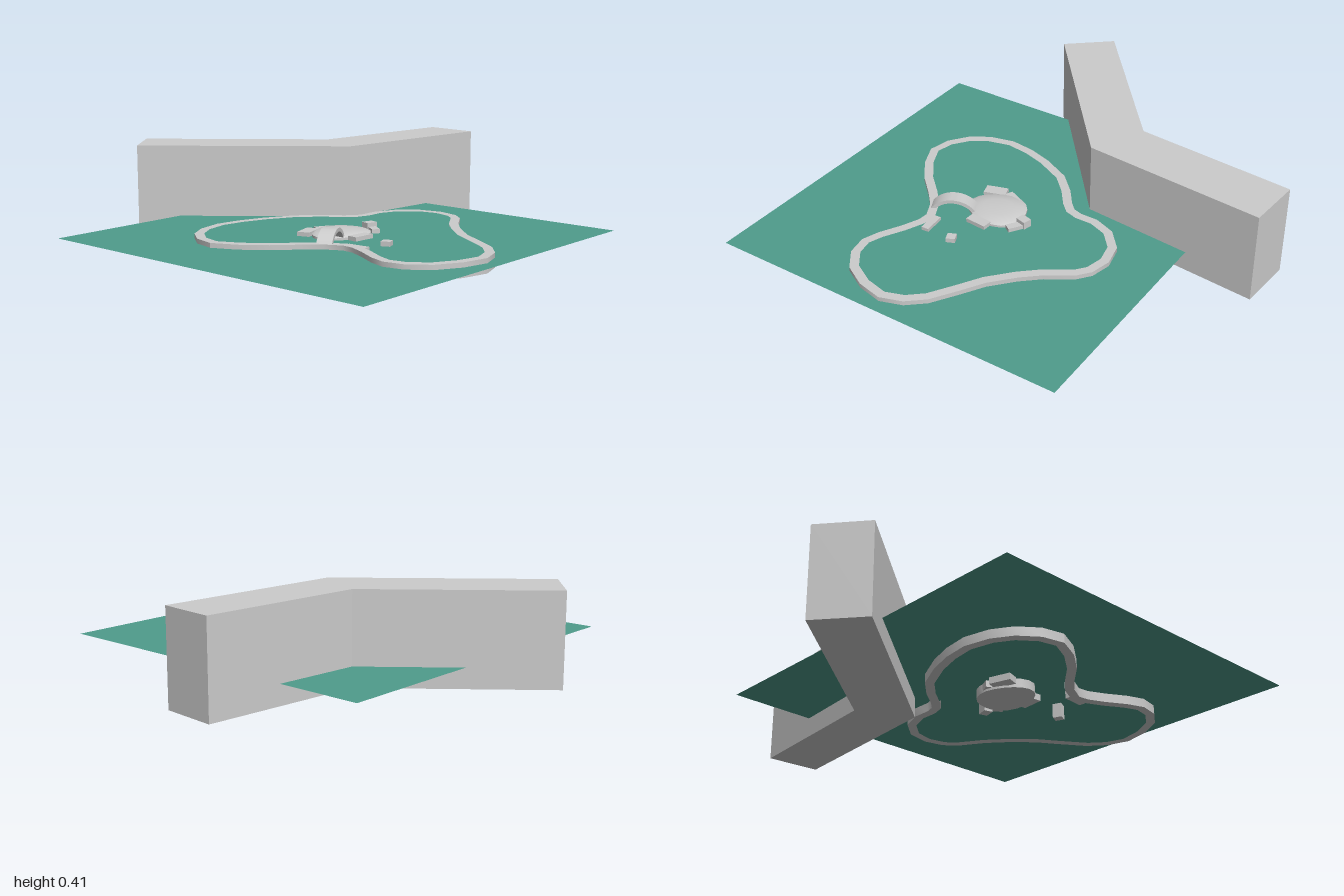
import * as THREE from 'three';
import { toCreasedNormals } from 'three/addons/utils/BufferGeometryUtils.js';

const grey = new THREE.MeshStandardMaterial({ color: 0xcccccc });
const water = new THREE.MeshStandardMaterial({ color: 0x4f9c8c, side: THREE.DoubleSide });

// Extrudes a plan outline given in (x, z) from y0 up to y1
function prism(points, y0, y1, hole) {
  const plan = (list) => list.map(([x, z]) => new THREE.Vector2(x, -z));
  const shape = new THREE.Shape(plan(points));
  if (hole) shape.holes.push(new THREE.Path(plan(hole)));
  const geo = new THREE.ExtrudeGeometry(shape, { depth: y1 - y0, bevelEnabled: false });
  return geo.rotateX(-Math.PI / 2).translate(0, y0, 0);
}

export function createModel() {
  const model = new THREE.Group();
  const add = (name, geo, material = grey) => {
    const mesh = new THREE.Mesh(geo, material);
    mesh.name = name;
    model.add(mesh);
    return mesh;
  };

  // Bent building block behind the pond
  add('building', prism([
    [-0.25, -1.0], [0.0, -0.98], [-0.08, -0.16],
    [-0.82, 0.45], [-0.98, 0.26], [-0.32, -0.28],
  ], 0, 0.41));

  // Flat water sheet
  add('waterSheet', new THREE.PlaneGeometry(1.65, 1.66)
    .rotateX(-Math.PI / 2).translate(0.15, 0.09, 0.17), water);

  // Curved pond rim: centre line offset to both sides
  const line = [
    [0.225, -0.42], [0.31, -0.4], [0.36, -0.36], [0.43, -0.25], [0.5, -0.17], [0.6, -0.08],
    [0.7, -0.02], [0.81, 0.05], [0.87, 0.12], [0.9, 0.21], [0.875, 0.32], [0.82, 0.42],
    [0.74, 0.48], [0.66, 0.495], [0.59, 0.47], [0.5, 0.42], [0.42, 0.385], [0.36, 0.38],
    [0.28, 0.42], [0.21, 0.485], [0.13, 0.57], [0.03, 0.645], [-0.07, 0.69], [-0.16, 0.67],
    [-0.24, 0.61], [-0.29, 0.53], [-0.315, 0.42], [-0.3, 0.31], [-0.265, 0.2], [-0.2, 0.07],
    [-0.12, -0.01], [-0.04, -0.07], [0.0, -0.11], [0.015, -0.16], [0.015, -0.24],
    [0.05, -0.33], [0.13, -0.4],
  ];
  const offset = (d) => line.map(([x, z], i) => {
    const a = line[(i + line.length - 1) % line.length];
    const b = line[(i + 1) % line.length];
    const tx = b[0] - a[0], tz = b[1] - a[1], len = Math.hypot(tx, tz);
    return [x + (d * tz) / len, z - (d * tx) / len];
  });
  add('pondRim', toCreasedNormals(prism(offset(0.02), 0.05, 0.11, offset(-0.02)), 0.6));

  // Low domed island with an uneven outline
  const profile = [[0, 0.05], [1, 0.05], [1, 0.1], [0.88, 0.108], [0.5, 0.114], [0, 0.116]]
    .map(([r, y]) => new THREE.Vector2(r, y));
  const island = new THREE.LatheGeometry(profile, 20);
  const pos = island.attributes.position;
  for (let i = 0; i < pos.count; i++) {
    const x = pos.getX(i), z = pos.getZ(i);
    const wobble = 1 + 0.05 * Math.cos(3 * Math.atan2(z, x) + 2);
    pos.setX(i, 0.15 + x * 0.115 * wobble);
    pos.setZ(i, 0.17 + z * 0.135 * wobble);
  }
  add('island', toCreasedNormals(island, 0.6));

  // Arched footbridge from the island to the rim
  const R = 0.125, half = Math.asin(0.1 / R);
  const arch = new THREE.Shape();
  arch.absarc(0, 0, R, Math.PI / 2 - half, Math.PI / 2 + half, false);
  arch.absarc(0, 0, R - 0.016, Math.PI / 2 + half, Math.PI / 2 - half, true);
  const bridgeGeo = new THREE.ExtrudeGeometry(arch, { depth: 0.065, bevelEnabled: false, curveSegments: 12 })
    .translate(0, 0, -0.0325);
  const bridge = add('footbridge', toCreasedNormals(bridgeGeo, 0.6));
  bridge.position.set(0.245, 0.157 - R, 0.34);
  bridge.rotation.y = Math.atan2(-0.17, 0.085);

  // Small stones: x, z, width, depth, bottom, top, turn
  const stones = [
    [0.18, 0.015, 0.04, 0.05, 0.04, 0.125, -0.25],
    [0.22, 0.035, 0.07, 0.035, 0.06, 0.108, -0.6],
    [0.275, 0.187, 0.045, 0.1, 0.06, 0.108, -0.08],
    [0.05, 0.16, 0.04, 0.08, 0.06, 0.108, -0.45],
    [0.045, 0.255, 0.055, 0.1, 0.06, 0.108, 0.3],
    [0.395, 0.352, 0.1, 0.035, 0.055, 0.105, 0.08],
    [0.435, 0.213, 0.04, 0.04, 0.025, 0.11, 0.4],
  ];
  for (const [x, z, w, d, y0, y1, turn] of stones) {
    const stone = add('stone', new THREE.BoxGeometry(w, y1 - y0, d));
    stone.position.set(x, (y0 + y1) / 2, z);
    stone.rotation.y = turn;
  }
  return model;
}
